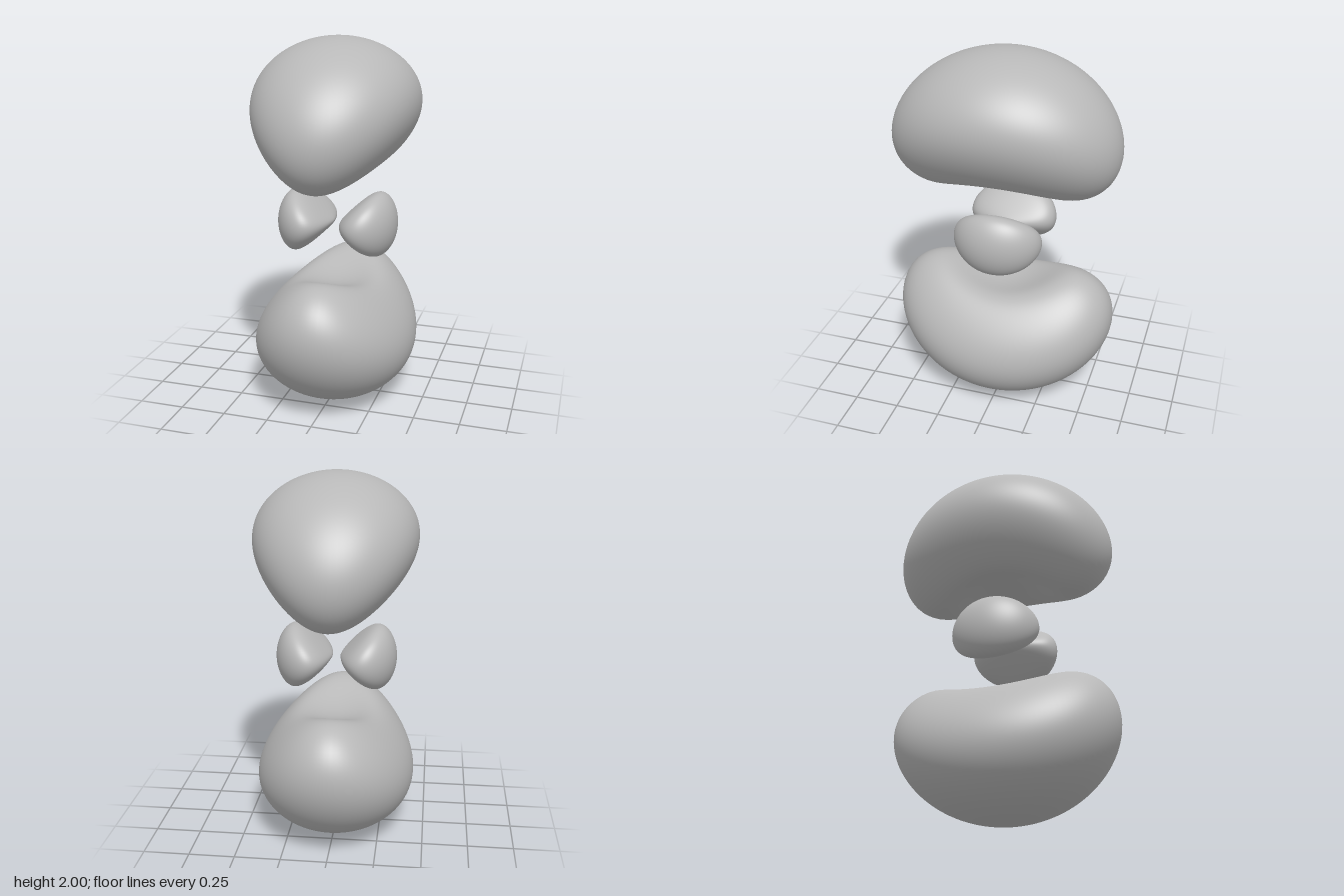
import * as THREE from 'three';

// Four-lobed field: an angular term times a radial term with one node
const innerField = (p) => {
  const r = p.length();
  return (p.x * p.x - p.y * p.y) * (0.35 - r) * Math.exp(-8.5 * r) / 1.28e-4 - 1;
};
const outerField = (p) => {
  const r = p.length();
  const level = (1 - 0.318) * Math.exp(-9.6);
  return (p.y * p.y - p.x * p.x) * r * (r - 0.318) * Math.exp(-9.6 * r) / level - 1;
};

// Push each vertex of a sphere outwards from the lobe's centre to the field's zero
function lobeGeometry(field, centre, axisAlongX) {
  const geo = new THREE.SphereGeometry(1, 112, 80);
  if (axisAlongX) geo.rotateZ(Math.PI / 2);
  const pos = geo.attributes.position;
  const normal = geo.attributes.normal;
  const dir = new THREE.Vector3();
  const p = new THREE.Vector3();
  const n = new THREE.Vector3();
  const at = (t) => p.copy(centre).addScaledVector(dir, t);
  const slope = (axis) => {
    const e = 1e-4;
    const q = p.clone();
    q[axis] += e;
    const high = field(q);
    q[axis] -= 2 * e;
    return field(q) - high;
  };
  for (let i = 0; i < pos.count; i++) {
    dir.fromBufferAttribute(pos, i).normalize();
    let hi = 0;
    while (hi < 1.5 && field(at(hi)) > 0) hi += 0.01;
    let lo = hi - 0.01;
    for (let k = 0; k < 20; k++) {
      const mid = (lo + hi) / 2;
      if (field(at(mid)) > 0) lo = mid;
      else hi = mid;
    }
    at(lo);
    n.set(slope('x'), slope('y'), slope('z')).normalize();
    pos.setXYZ(i, p.x, p.y, p.z);
    normal.setXYZ(i, n.x, n.y, n.z);
  }
  return geo;
}

export function createModel() {
  const model = new THREE.Group();
  model.name = 'lobes';
  const grey = new THREE.MeshStandardMaterial({ color: 0xb8b8b8 });
  grey.name = 'grey';

  const add = (name, geo, turn = 0) => {
    const mesh = new THREE.Mesh(geo, grey);
    mesh.name = name;
    mesh.position.y = 1;
    mesh.rotation.z = turn;
    model.add(mesh);
  };

  // Large bean-shaped lobes above and below
  const outer = lobeGeometry(outerField, new THREE.Vector3(0, 0.62, 0), false);
  add('upperLobe', outer);
  add('lowerLobe', outer, Math.PI);

  // Small wedge-shaped lobes on either side of the middle
  const inner = lobeGeometry(innerField, new THREE.Vector3(0.2, 0, 0), true);
  add('leftInnerLobe', inner);
  add('rightInnerLobe', inner, Math.PI);

  return model;
}
